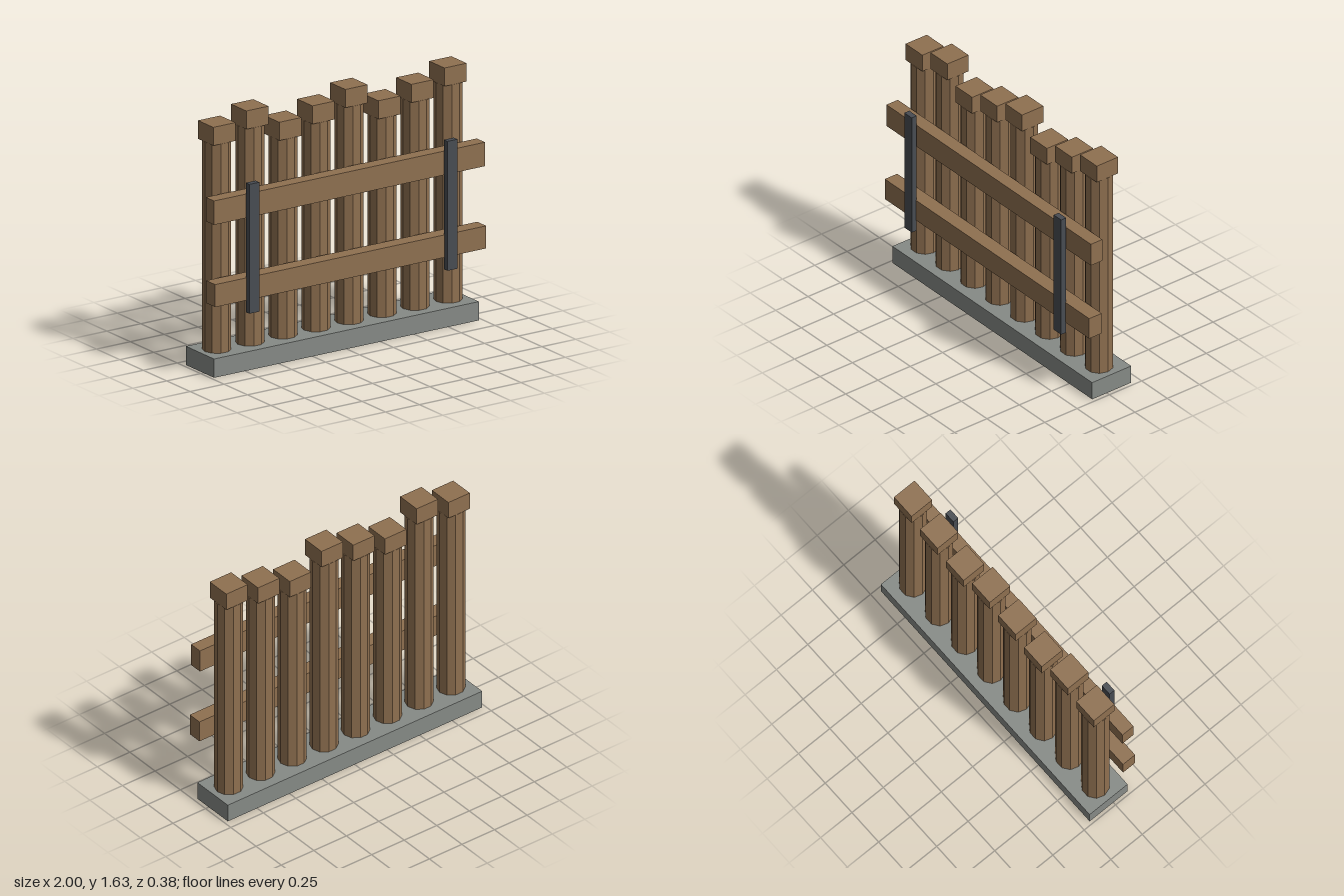
import * as THREE from 'three';

const mat = (color) => new THREE.MeshStandardMaterial({ color, flatShading: true });

export function createModel() {
  const group = new THREE.Group();
  const wood = mat(0x8f7050), stone = mat(0x868a86), iron = mat(0x484c52);

  const add = (name, geometry, material, x, y, z) => {
    const mesh = new THREE.Mesh(geometry, material);
    mesh.name = name;
    mesh.position.set(x, y, z);
    group.add(mesh);
    return mesh;
  };

  // Box given by centre x, width, and its y and z ranges
  const slab = (name, material, x, width, y0, y1, z0, z1) =>
    add(name, new THREE.BoxGeometry(width, y1 - y0, z1 - z0), material, x, (y0 + y1) / 2, (z0 + z1) / 2);

  // Stone footing
  slab('base', stone, -0.002, 1.954, 0, 0.12, -0.1885, 0.1135);

  // Ten-sided posts with square caps, in three repeating heights
  const heights = [1.457, 1.516, 1.398];
  const postZ = -0.0375, capHeight = 0.117, capSize = 0.164;
  for (let i = 0; i < 8; i++) {
    const x = -0.002 + (i - 3.5) * 0.2437;
    const h = heights[i % 3];
    const post = add('post', new THREE.CylinderGeometry(0.088, 0.088, h, 10), wood, x, h / 2, postZ);
    post.rotation.y = Math.PI / 10; // a flat side faces the front
    add('postCap', new THREE.BoxGeometry(capSize, capHeight, capSize), wood, x, h + capHeight / 2, postZ);
  }

  // Cross rails
  slab('upperRail', wood, 0, 2, 0.989, 1.142, 0.055, 0.143);
  slab('lowerRail', wood, 0, 2, 0.467, 0.611, 0.06, 0.156);

  // Iron straps over the rails
  for (const side of [-1, 1]) {
    slab('strap', iron, -0.002 + side * 0.731, 0.073, 0.39, 1.217, 0.149, 0.1875);
  }

  return group;
}
